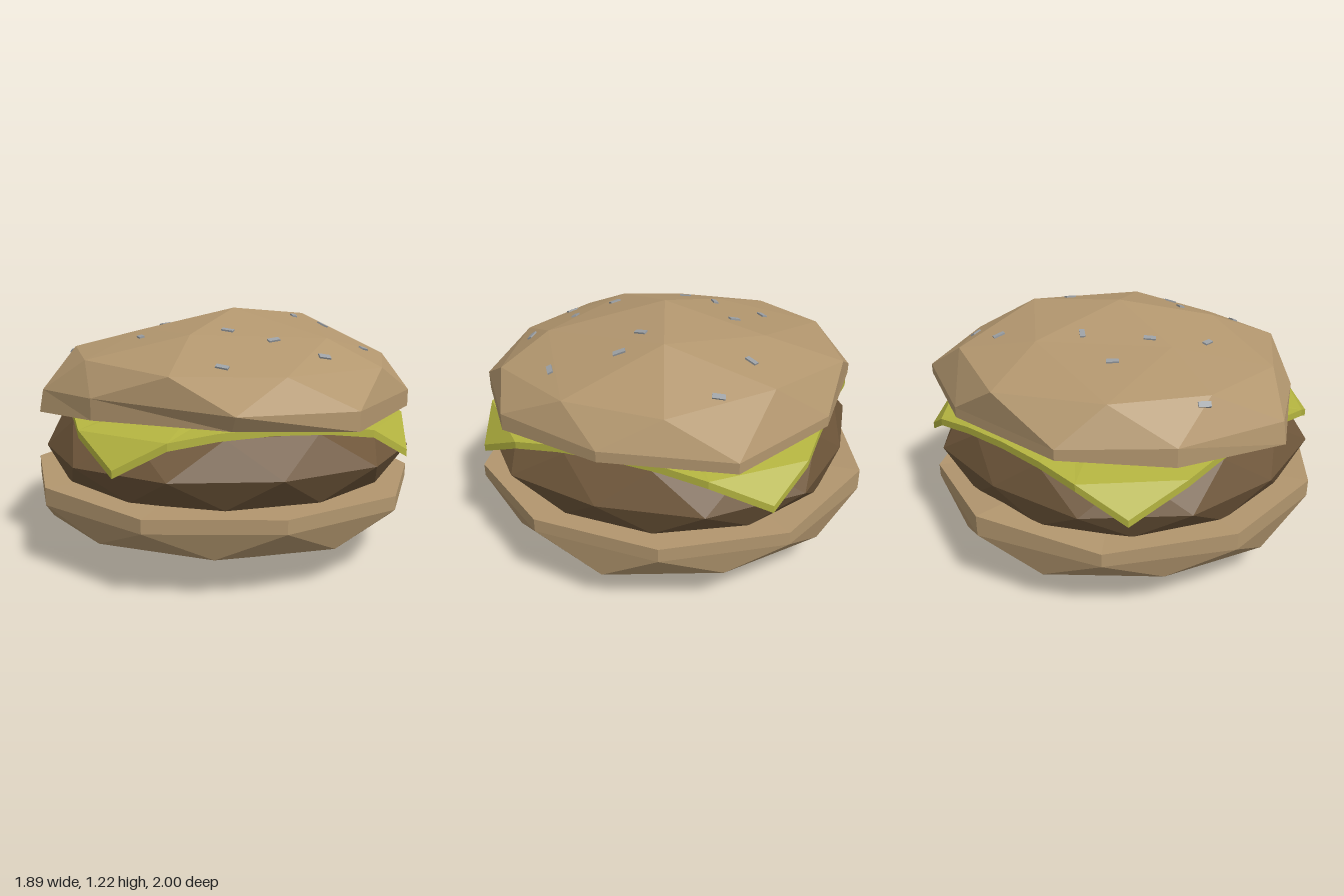
import * as THREE from 'three';

const material = (color) => new THREE.MeshStandardMaterial({ color, flatShading: true, roughness: 0.9 });
const angleOf = (p) => Math.atan2(p[0], p[2]);

// Regular ring of points [x, y, z]; turn is a fraction of one step
function ring(count, radius, y, turn = 0, wobble = 0) {
  return Array.from({ length: count }, (_, i) => {
    const a = ((i + turn) / count) * Math.PI * 2;
    return [radius * Math.sin(a), y + wobble * Math.sin(i * 2.4), radius * Math.cos(a)];
  });
}

// Skin a stack of rings (top to bottom) of differing point counts
function skin(name, rings, color) {
  const sorted = rings.map((r) => [...r].sort((p, q) => angleOf(p) - angleOf(q)));
  const pos = [];
  for (let k = 0; k + 1 < sorted.length; k++) {
    const A = sorted[k], B = sorted[k + 1];
    const next = (R, i) => (R.length === 1 || i >= R.length ? Infinity
      : angleOf(R[(i + 1) % R.length]) + (i + 1 === R.length ? Math.PI * 2 : 0));
    let i = 0, j = 0;
    while (true) {
      const na = next(A, i), nb = next(B, j);
      if (na === Infinity && nb === Infinity) break;
      const a = A[i % A.length], b = B[j % B.length];
      if (na < nb) { i++; pos.push(...a, ...b, ...A[i % A.length]); }
      else { j++; pos.push(...a, ...b, ...B[j % B.length]); }
    }
  }
  const geo = new THREE.BufferGeometry();
  geo.setAttribute('position', new THREE.Float32BufferAttribute(pos, 3));
  geo.computeVertexNormals();
  const mesh = new THREE.Mesh(geo, material(color));
  mesh.name = name;
  return mesh;
}

// Thin square slice with arched sides and four corners folded down
function cheeseSlice() {
  const sidePoints = [[-0.47, 0.715], [-0.25, 0.742], [0, 0.752], [0.25, 0.742], [0.47, 0.715]];
  const edge = [], corners = [];
  for (const s of [-1, 1]) {
    for (const [t, y] of sidePoints) edge.push([t, y, s * 0.82], [s * 0.8, y, t]);
    corners.push([s * 0.69, 0.59, 0.73], [s * 0.69, 0.59, -0.73]);
  }
  const inner = edge.map(([x, , z]) => [x * 0.6, 0.77, z * 0.6]);
  const outline = [...edge, ...corners];
  const under = (points) => points.map(([x, y, z]) => [x, y - 0.035, z]);
  return skin('cheese', [
    [[0, 0.775, 0]], inner, edge, outline,
    under(outline), under(edge), under(inner), [[0, 0.74, 0]],
  ], 0xb4b440);
}

export function createModel() {
  const group = new THREE.Group();
  group.name = 'burger';
  const bunColor = 0xb2966e;

  // Bottom bun: faceted bowl with a slightly uneven rim
  const rim = ring(10, 1, 0.4);
  rim.forEach((p) => {
    if (Math.abs(p[2]) < 0.9) p[2] += 0.02;
    if (p[2] < -0.9) p[1] = 0.44;
    if (p[0] < -0.9) p[1] = 0.42;
    if (p[0] > 0.9) p[0] = 0.92;
  });
  const side = rim.map(([x, , z]) => [x, 0.335, z]);
  group.add(skin('bottomBun', [
    [[0, 0.4, 0]], rim, side, ring(10, 0.905, 0.19, 0.5, 0.022), ring(5, 0.53, 0.05), [[0, 0, 0]],
  ], bunColor));

  // Patty
  const waist = ring(12, 0.96, 0.55);
  waist.forEach((p) => {
    p[0] = THREE.MathUtils.clamp(p[0], -0.92, 0.92);
    p[2] = THREE.MathUtils.clamp(p[2] + 0.01, -0.89, 0.95);
  });
  group.add(skin('patty', [
    [[0, 0.72, 0]], ring(12, 0.83, 0.71, 0.5), waist, ring(12, 0.85, 0.4, 0.5), [[0, 0.39, 0]],
  ], 0x6e563a));

  group.add(cheeseSlice());

  // Top bun: irregular dome
  const equator = [
    [-0.22, 0.84, 0.97], [0.36, 0.82, 0.9], [0.79, 0.84, 0.54], [0.94, 0.84, -0.02], [0.83, 0.85, -0.61],
    [0.28, 0.85, -0.86], [-0.37, 0.85, -0.84], [-0.76, 0.86, -0.5], [-0.93, 0.84, 0.06], [-0.74, 0.85, 0.44],
  ];
  const lowerY = [0.77, 0.73, 0.76, 0.79, 0.8, 0.8, 0.8, 0.77, 0.73, 0.75];
  const lower = equator.map(([x, , z], i) => [i === 8 ? -0.95 : x, lowerY[i], Math.min(z, 0.92)]);
  const topBun = skin('topBun', [
    [[0.05, 1.22, 0.03]],
    [[-0.27, 1.12, 0.4], [0.36, 1.1, 0.52], [0.5, 1.175, -0.15], [0.1, 1.125, -0.5], [-0.4, 1.11, -0.1]],
    [[-0.44, 0.975, 0.72], [0.05, 0.97, 0.83], [0.58, 0.97, 0.66], [0.82, 0.98, 0.2], [0.82, 0.98, -0.28],
      [0.49, 1.04, -0.66], [0, 1.01, -0.86], [-0.48, 1.02, -0.63], [-0.74, 1.015, -0.25], [-0.74, 1.0, 0.25]],
    equator, lower, [[0, 0.785, 0]],
  ], bunColor);
  group.add(topBun);

  // Seeds: x, z and heading, dropped onto the dome and tilted to its facets
  const seeds = new THREE.Group();
  seeds.name = 'seeds';
  const spots = [
    [-0.74, -0.3, 0.9], [-0.28, -0.38, 0.8], [-0.02, -0.31, -0.7], [0.36, -0.51, 1.2], [0.63, -0.45, -1.3],
    [-0.28, -0.12, 0.6], [-0.45, 0.11, -1.5], [0.39, 0.01, 1.4], [0.54, 0.05, -1.1], [0.63, 0.36, 0.6],
    [-0.08, 0.37, -0.6], [0.1, 0.51, 0.2], [-0.2, 0.7, -0.6], [0.29, 0.66, 0],
  ];
  const seedGeo = new THREE.BoxGeometry(0.058, 0.022, 0.026);
  const seedMat = material(0x9a9ea2);
  const up = new THREE.Vector3(0, 1, 0);
  const ray = new THREE.Raycaster();
  for (const [x, z, heading] of spots) {
    ray.set(new THREE.Vector3(x, 3, z), new THREE.Vector3(0, -1, 0));
    const hit = ray.intersectObject(topBun)[0];
    if (!hit) continue;
    const seed = new THREE.Mesh(seedGeo, seedMat);
    seed.name = 'seed';
    seed.position.copy(hit.point).addScaledVector(hit.face.normal, -0.003);
    seed.quaternion.setFromUnitVectors(up, hit.face.normal);
    seed.rotateY(heading);
    seeds.add(seed);
  }
  group.add(seeds);
  return group;
}
